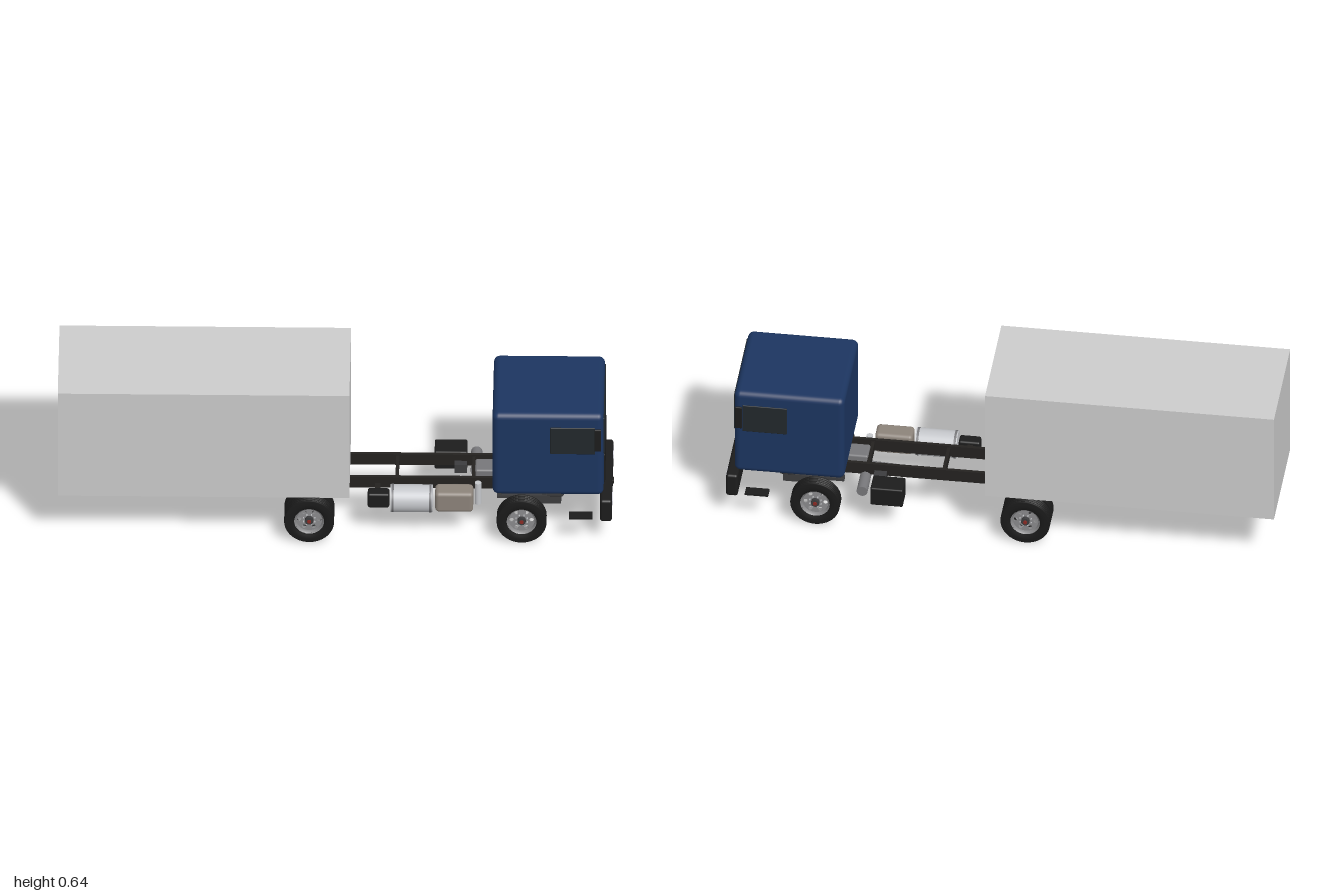
import * as THREE from 'three';
import { RoundedBoxGeometry } from 'three/addons/geometries/RoundedBoxGeometry.js';

const mat = (color, side = THREE.FrontSide) => new THREE.MeshStandardMaterial({ color, side });
const M = {
  grey: mat(0xcccccc), blue: mat(0x1c3560), glass: mat(0x22282c), black: mat(0x1c1c1c),
  rubber: mat(0x1a1a1a), frame: mat(0x242220), steel: mat(0x77777a), dark: mat(0x3c3c3e),
  rim: mat(0x8a8a8c, THREE.DoubleSide), silver: mat(0xc4c6ca), tan: mat(0x8c837a),
  lamp: mat(0xdcdce4), red: mat(0x8c2a24),
};

export function createModel() {
  const truck = new THREE.Group();
  truck.name = 'boxTruck';

  const add = (name, geo, m, x = 0, y = 0, z = 0, parent = truck) => {
    const mesh = new THREE.Mesh(geo, m);
    mesh.name = name;
    mesh.position.set(x, y, z);
    parent.add(mesh);
    return mesh;
  };
  // Box given by its minimum and maximum on each axis; r rounds the edges
  const box = (name, m, [x0, x1], [y0, y1], [z0, z1], r = 0) => {
    const s = [x1 - x0, y1 - y0, z1 - z0];
    const geo = r ? new RoundedBoxGeometry(...s, 3, r) : new THREE.BoxGeometry(...s);
    return add(name, geo, m, (x0 + x1) / 2, (y0 + y1) / 2, (z0 + z1) / 2);
  };
  // Cylinder along a chosen axis
  const rod = (name, m, r, len, axis, x, y, z, parent = truck, sides = 24) => {
    const geo = new THREE.CylinderGeometry(r, r, len, sides);
    if (axis === 'x') geo.rotateZ(Math.PI / 2);
    if (axis === 'z') geo.rotateX(Math.PI / 2);
    return add(name, geo, m, x, y, z, parent);
  };

  // Cargo body
  box('cargoBox', M.grey, [-1, 0.05], [0.198, 0.645], [-0.215, 0.215]);

  // Cab with windscreen, grille and side details
  box('cab', M.blue, [0.565, 0.965], [0.2, 0.553], [-0.195, 0.195], 0.022);
  box('windscreen', M.glass, [0.955, 0.969], [0.374, 0.528], [-0.173, 0.173], 0.004);
  box('grille', M.black, [0.955, 0.97], [0.217, 0.338], [-0.13, 0.13], 0.004);
  for (const s of [-1, 1]) {
    const span = (a, b) => [Math.min(s * a, s * b), Math.max(s * a, s * b)];
    box('sideWindow', M.glass, [0.773, 0.935], [0.385, 0.5], span(0.188, 0.198), 0.003);
    box('mirror', M.black, [0.932, 0.957], [0.42, 0.513], span(0.221, 0.23), 0.003);
    box('headlight', M.lamp, [0.98, 0.998], [0.147, 0.169], span(0.118, 0.177), 0.003);
    box('step', M.black, [0.84, 0.925], [0.105, 0.112], span(0.165, 0.205));
    box('frameRail', M.frame, [-0.52, 0.84], [0.15, 0.196], span(0.066, 0.079));
    box('leafSpring', M.dark, [-0.2, 0.01], [0.122, 0.134], span(0.062, 0.084));
    box('leafSpring', M.dark, [0.58, 0.76], [0.112, 0.124], span(0.062, 0.084));
    for (const x of [-0.19, 0, 0.59, 0.75]) box('springHanger', M.dark, [x - 0.008, x + 0.008], [0.115, 0.155], span(0.066, 0.08));
  }
  box('bumper', M.black, [0.952, 0.995], [0.09, 0.182], [-0.198, 0.198], 0.01);
  box('towHook', M.frame, [0.98, 1], [0.128, 0.145], [-0.012, 0.012], 0.003);

  // Frame crossmembers
  for (const x of [-0.5, -0.22, 0.22, 0.495]) {
    box('crossmember', M.frame, [x - 0.006, x + 0.006], [0.157, 0.19], [-0.07, 0.07]);
  }
  box('frontCrossmember', M.dark, [0.835, 0.85], [0.14, 0.2], [-0.086, 0.086]);

  // Engine, gearbox and driveline
  box('engine', M.dark, [0.6, 0.82], [0.1, 0.199], [-0.058, 0.058], 0.008);
  box('oilPan', M.dark, [0.7, 0.81], [0.053, 0.1], [-0.03, 0.03]);
  box('gearbox', M.steel, [0.5, 0.61], [0.12, 0.2], [-0.04, 0.036], 0.008);
  const shaft = rod('driveshaft', M.steel, 0.011, 0.6, 'x', 0.205, 0.122, 0);
  shaft.rotation.z = 0.06;
  rod('rearAxle', M.steel, 0.018, 0.26, 'z', -0.095, 0.09, 0);
  add('differential', new THREE.SphereGeometry(0.04, 24, 16), M.steel, -0.095, 0.09, 0);
  rod('differentialNose', M.steel, 0.022, 0.06, 'x', -0.05, 0.095, 0);
  box('frontAxle', M.steel, [0.655, 0.685], [0.077, 0.093], [-0.155, 0.155]);

  // Equipment on the +z side
  box('batteryBox', M.black, [0.115, 0.193], [0.12, 0.18], [0.12, 0.166], 0.008);
  rod('fuelTank', M.silver, 0.05, 0.152, 'x', 0.273, 0.15, 0.143, truck, 40);
  for (const x of [0.205, 0.341]) rod('tankStrap', M.steel, 0.0512, 0.008, 'x', x, 0.15, 0.143, truck, 40);
  box('airTank', M.tan, [0.358, 0.495], [0.11, 0.193], [0.105, 0.178], 0.014);
  rod('filter', M.silver, 0.012, 0.09, 'y', 0.512, 0.146, 0.1);
  for (const x of [0.15, 0.273, 0.43]) box('bracket', M.frame, [x - 0.01, x + 0.01], [0.155, 0.17], [0.075, 0.13]);

  // Equipment on the -z side
  box('toolBox', M.black, [0.352, 0.47], [0.1, 0.175], [-0.196, -0.113], 0.006);
  box('toolBoxBracket', M.dark, [0.425, 0.47], [0.135, 0.17], [-0.115, -0.04]);
  rod('muffler', M.steel, 0.02, 0.13, 'z', 0.503, 0.14, -0.107);
  rod('exhaustPipe', M.steel, 0.009, 0.12, 'x', 0.555, 0.14, -0.05);

  // Tyre cross-section with tread grooves
  const R = 0.09, W = 0.05;
  const profile = [[0.052, -0.019], [0.06, -0.024], [0.074, -0.025], [0.084, -0.023]];
  for (let i = 0; i < 5; i++) {
    const c = -0.0192 + i * 0.0096;
    profile.push([R - 0.003, c - 0.0042], [R, c - 0.003], [R, c + 0.003], [R - 0.003, c + 0.0042]);
  }
  profile.push([0.084, 0.023], [0.074, 0.025], [0.06, 0.024], [0.052, 0.019], [0.052, -0.019]);
  const lathe = (pts, n) => new THREE.LatheGeometry(pts.map(p => new THREE.Vector2(...p)), n).rotateX(Math.PI / 2);
  const tyreGeo = lathe(profile, 48);
  const barrelGeo = lathe([[0.054, -0.02], [0.048, -0.015], [0.047, 0.014], [0.054, 0.021]], 40);

  // Rim disc with hand holes
  const disc = new THREE.Shape().absarc(0, 0, 0.048, 0, Math.PI * 2);
  for (let i = 0; i < 6; i++) {
    const a = i * Math.PI / 3;
    disc.holes.push(new THREE.Path().absarc(0.036 * Math.cos(a), 0.036 * Math.sin(a), 0.008, 0, Math.PI * 2, true));
  }
  const discGeo = new THREE.ExtrudeGeometry(disc, { depth: 0.004, bevelEnabled: false, curveSegments: 20 });

  // Each wheel is built with its outer face towards local +z
  const wheel = (name, x, z, flip) => {
    const g = new THREE.Group();
    g.name = name;
    add('tyre', tyreGeo, M.rubber, 0, 0, 0, g);
    add('rimBarrel', barrelGeo, M.rim, 0, 0, 0, g);
    add('rimDisc', discGeo, M.rim, 0, 0, 0.004, g);
    rod('hub', M.dark, 0.015, 0.03, 'z', 0, 0, 0.006, g);
    rod('hubCap', M.red, 0.007, 0.006, 'z', 0, 0, 0.022, g);
    for (let i = 0; i < 8; i++) {
      const a = (i + 0.5) * Math.PI / 4;
      rod('wheelNut', M.silver, 0.0025, 0.006, 'z', 0.022 * Math.cos(a), 0.022 * Math.sin(a), 0.01, g, 6);
    }
    g.position.set(x, R, z);
    if (flip) g.rotation.y = Math.PI;
    truck.add(g);
  };
  for (const s of [-1, 1]) {
    wheel('frontWheel', 0.67, s * 0.18, s < 0);
    wheel('rearOuterWheel', -0.095, s * (0.213 - W / 2), s < 0);
    wheel('rearInnerWheel', -0.095, s * (0.107 + W / 2), s > 0);
  }
  return truck;
}
